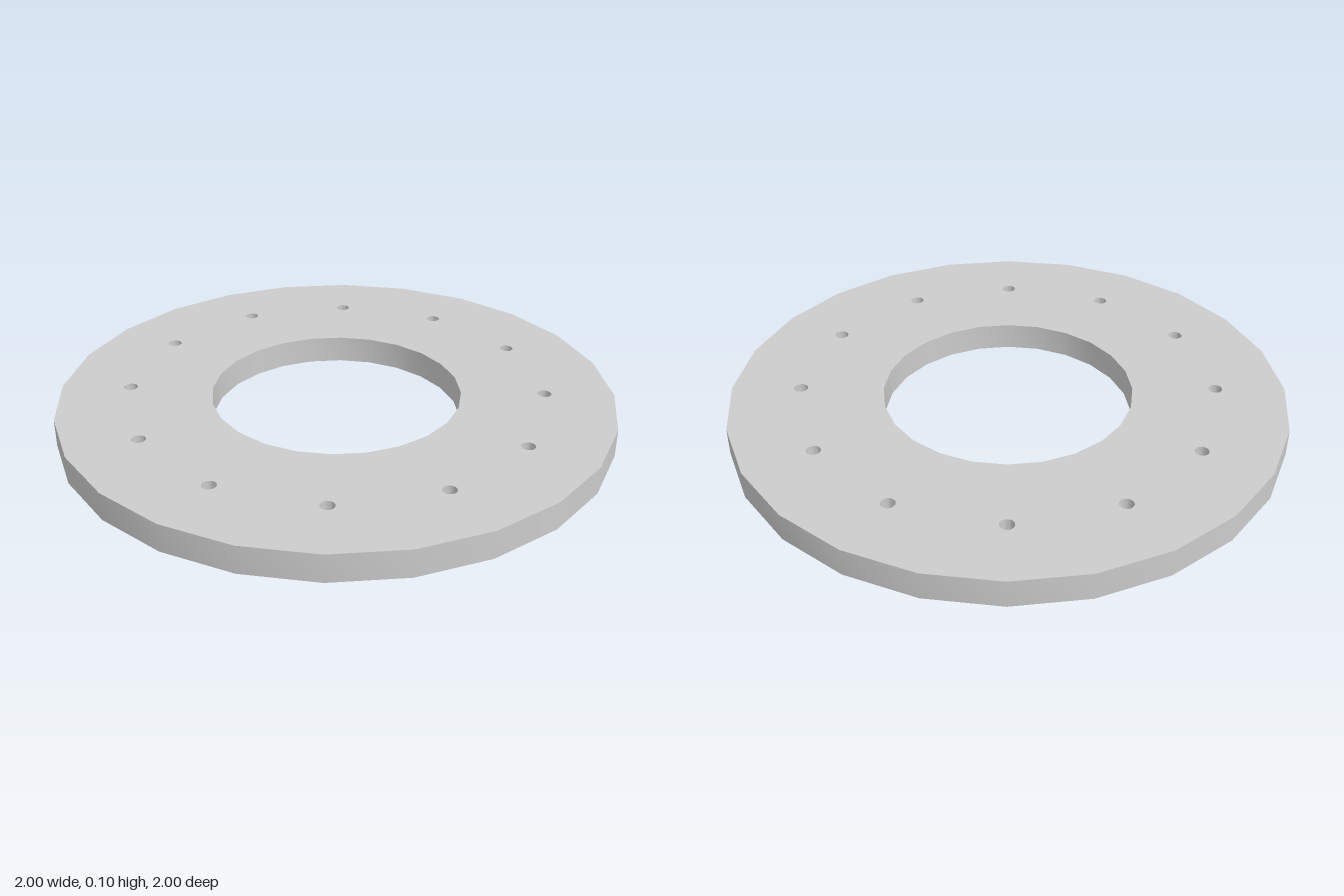
import * as THREE from 'three';
import { toCreasedNormals } from 'three/addons/utils/BufferGeometryUtils.js';

const SIDES = 24, THICKNESS = 0.1;
const OUTER_RADIUS = 1, BORE_RADIUS = 0.45;
const BOLT_COUNT = 12, BOLT_CIRCLE = 0.75, BOLT_RADIUS = 0.025;

// Corners of a regular polygon, the first one on +x
function ring(radius, cx = 0, cy = 0) {
  return Array.from({ length: SIDES }, (_, i) => {
    const a = (i / SIDES) * Math.PI * 2;
    return new THREE.Vector2(cx + radius * Math.cos(a), cy + radius * Math.sin(a));
  });
}

export function createModel() {
  const group = new THREE.Group();
  group.name = 'flange';

  // Disc outline with the central bore
  const outline = new THREE.Shape(ring(OUTER_RADIUS));
  outline.holes.push(new THREE.Path(ring(BORE_RADIUS)));

  // Bolt holes evenly spaced on their circle
  for (let i = 0; i < BOLT_COUNT; i++) {
    const a = (i / BOLT_COUNT) * Math.PI * 2;
    outline.holes.push(new THREE.Path(
      ring(BOLT_RADIUS, BOLT_CIRCLE * Math.cos(a), BOLT_CIRCLE * Math.sin(a))));
  }

  // Lay the plate flat on the ground, with smooth walls and sharp rims
  const plate = new THREE.ExtrudeGeometry(outline, { depth: THICKNESS, bevelEnabled: false });
  plate.rotateX(-Math.PI / 2);
  const mesh = new THREE.Mesh(
    toCreasedNormals(plate, Math.PI / 6),
    new THREE.MeshStandardMaterial({ color: 0xcccccc }));
  mesh.name = 'flangePlate';
  group.add(mesh);

  return group;
}
